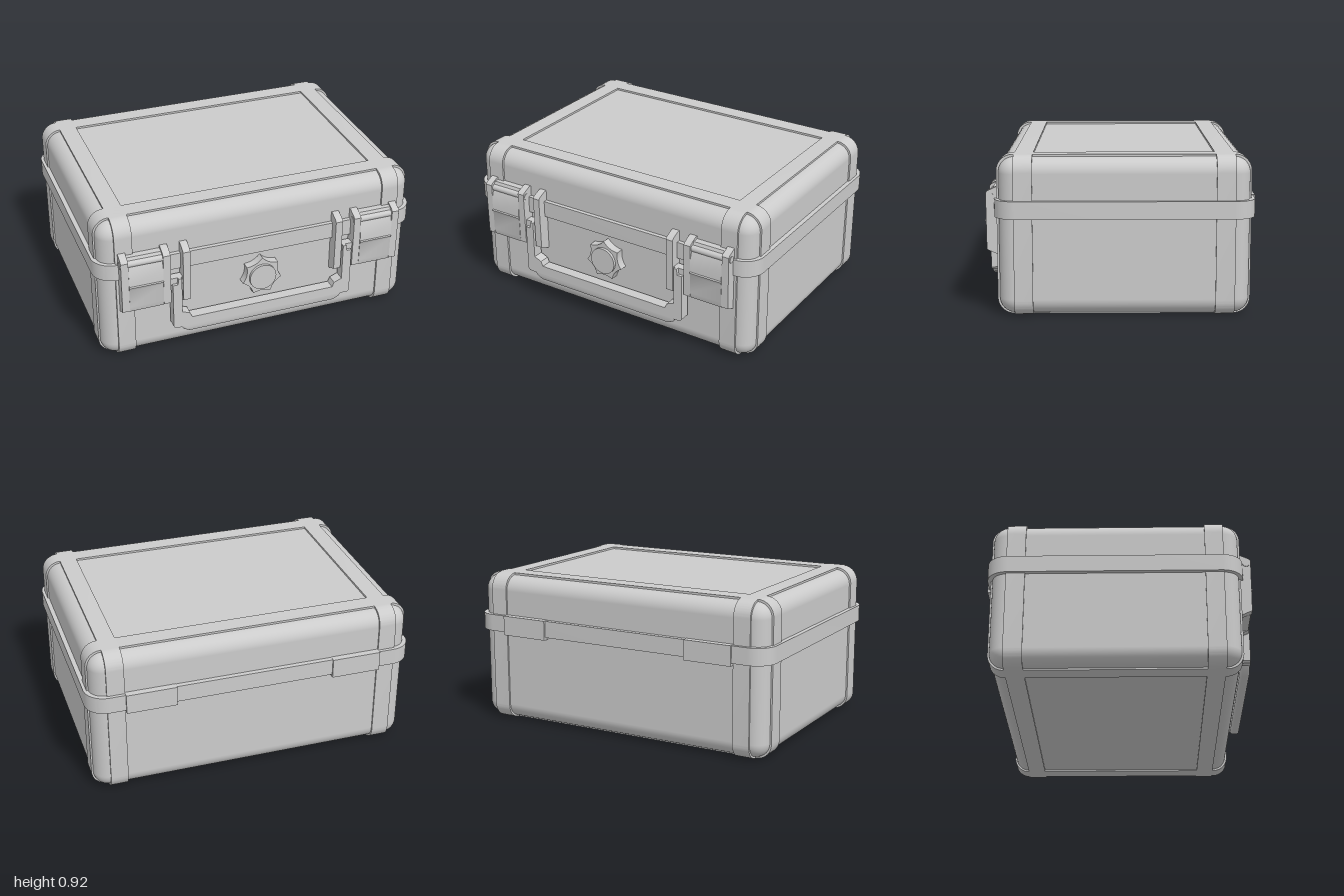
import * as THREE from 'three';
import { toCreasedNormals } from 'three/addons/utils/BufferGeometryUtils.js';
import { RoundedBoxGeometry } from 'three/addons/geometries/RoundedBoxGeometry.js';

const material = new THREE.MeshStandardMaterial({ color: 0xcccccc });
const ZC = -0.0225; // depth centre of the shell

function add(parent, name, geometry) {
  const mesh = new THREE.Mesh(geometry, material);
  mesh.name = name;
  parent.add(mesh);
  return mesh;
}

function roundedRect(x0, y0, x1, y1, r) {
  const s = new THREE.Shape();
  s.absarc(x1 - r, y0 + r, r, -Math.PI / 2, 0);
  s.absarc(x1 - r, y1 - r, r, 0, Math.PI / 2);
  s.absarc(x0 + r, y1 - r, r, Math.PI / 2, Math.PI);
  s.absarc(x0 + r, y0 + r, r, Math.PI, Math.PI * 1.5);
  s.closePath();
  return s;
}

const polygon = (pts) => new THREE.Shape(pts.map(([x, y]) => new THREE.Vector2(x, y)));

// Extrude an (x, y) shape from z0 to z1, with an optional rounded bevel kept inside that depth
function extrudeZ(shape, z0, z1, bevel = 0) {
  const g = new THREE.ExtrudeGeometry(shape, {
    depth: z1 - z0 - 2 * bevel, curveSegments: 10, bevelEnabled: bevel > 0,
    bevelSize: bevel, bevelOffset: -bevel, bevelThickness: bevel, bevelSegments: 4,
  });
  g.translate(0, 0, z0 + bevel);
  return toCreasedNormals(g, 0.6);
}

// Extrude a (z, y) profile from x0 to x1
const extrudeX = (shape, x0, x1) =>
  extrudeZ(shape, 0, x1 - x0).rotateY(-Math.PI / 2).translate(x1, 0, 0);

function box(x0, x1, y0, y1, z0, z1) {
  return new THREE.BoxGeometry(x1 - x0, y1 - y0, z1 - z0)
    .translate((x0 + x1) / 2, (y0 + y1) / 2, (z0 + z1) / 2);
}

export function createModel() {
  const model = new THREE.Group();
  model.name = 'hardCase';

  // Shell
  add(model, 'shell', new RoundedBoxGeometry(1.945, 0.9, 1.425, 6, 0.09).translate(0, 0.46, ZC));

  // Raised bands running around the shell next to each corner
  const sideProfile = roundedRect(-0.745, 0, 0.702, 0.922, 0.095);
  const frontProfile = roundedRect(-0.982, 0, 0.982, 0.922, 0.095);
  for (const [x0, x1] of [[0.78, 0.885], [-0.885, -0.78]]) {
    add(model, 'lengthwiseBand', extrudeX(sideProfile, x0, x1));
  }
  for (const [z0, z1] of [[0.495, 0.602], [-0.65, -0.54]]) {
    add(model, 'crosswiseBand', extrudeZ(frontProfile, z0, z1));
  }

  // Rim where lid and base meet
  const rim = extrudeZ(roundedRect(-1, -0.715, 1, 0.765, 0.125), 0.568, 0.67);
  add(model, 'rim', rim.rotateX(-Math.PI / 2));

  // Profiles (z, y) for the latch parts
  const earProfile = polygon([[0.68, 0.345], [0.7, 0.345], [0.762, 0.372], [0.765, 0.7],
    [0.755, 0.712], [0.705, 0.735], [0.68, 0.735]]);
  const upperPlate = polygon([[0.68, 0.54], [0.768, 0.54], [0.765, 0.62], [0.742, 0.69],
    [0.73, 0.718], [0.68, 0.718]]);
  const lowerPlate = polygon([[0.68, 0.365], [0.755, 0.365], [0.764, 0.4], [0.764, 0.515],
    [0.775, 0.535], [0.765, 0.542], [0.68, 0.542]]);

  for (const side of [-1, 1]) {
    const span = (a, b) => (side > 0 ? [a, b] : [-b, -a]);
    const latch = new THREE.Group();
    latch.name = side > 0 ? 'leftLatch' : 'rightLatch';
    model.add(latch);

    // Upright ears: two hold the latch, the inner pair holds the handle
    for (const x of [0.847, 0.597, 0.478]) {
      add(latch, 'ear', extrudeX(earProfile, ...span(x - 0.022, x + 0.022)));
    }
    add(latch, 'upperPlate', extrudeX(upperPlate, ...span(0.62, 0.825)));
    add(latch, 'lowerPlate', extrudeX(lowerPlate, ...span(0.62, 0.825)));

    // Pivot pin through the latch ears
    const pin = add(latch, 'pivotPin', new THREE.CylinderGeometry(0.02, 0.02, 0.302, 20));
    pin.rotation.z = Math.PI / 2;
    pin.position.set(side * 0.723, 0.68, 0.738);

    // Handle pivot between the inner ears
    add(model, 'handlePivot', box(...span(0.5, 0.575), 0.485, 0.528, 0.7, 0.75));

    // Hinge plate on the back
    add(model, 'hinge', box(...span(0.48, 0.78), 0.552, 0.672, -0.776, -0.72));
  }

  // Handle frame, a U drawn as one half and its mirror
  const outer = [[0.565, 0.49], [0.565, 0.2], [0.553, 0.187], [0.52, 0.187]];
  const inner = [[0.45, 0.245], [0.462, 0.275], [0.51, 0.295], [0.51, 0.528], [0.53, 0.528], [0.535, 0.49]];
  const mirror = (pts) => pts.map(([x, y]) => [-x, y]).reverse();
  const half = [...inner, ...outer];
  add(model, 'handleFrame', extrudeZ(polygon([...half, ...mirror(half)]), 0.702, 0.768));

  // Rounded grip along the bottom of the handle
  const grip = polygon([[-0.52, 0.215], [-0.52, 0.187], [-0.5, 0.16], [-0.465, 0.143],
    [0.465, 0.143], [0.5, 0.16], [0.52, 0.187], [0.52, 0.215]]);
  add(model, 'handleGrip', extrudeZ(grip, 0.708, 0.766, 0.015));

  // Pressure valve: seven-pointed scalloped knob with a round cap
  const star = new THREE.Shape();
  const step = (Math.PI * 2) / 7;
  const at = (a, r) => [r * Math.cos(a), 0.413 + r * Math.sin(a)];
  star.moveTo(...at(Math.PI / 2, 0.126));
  for (let i = 0; i < 7; i++) {
    const a = Math.PI / 2 + i * step;
    star.quadraticCurveTo(...at(a + step / 2, 0.088), ...at(a + step, 0.126));
  }
  add(model, 'valveKnob', extrudeZ(star, 0.68, 0.74));
  const cap = add(model, 'valveCap', new THREE.CylinderGeometry(0.083, 0.083, 0.077, 40));
  cap.rotation.x = Math.PI / 2;
  cap.position.set(0, 0.413, 0.718);

  return model;
}
